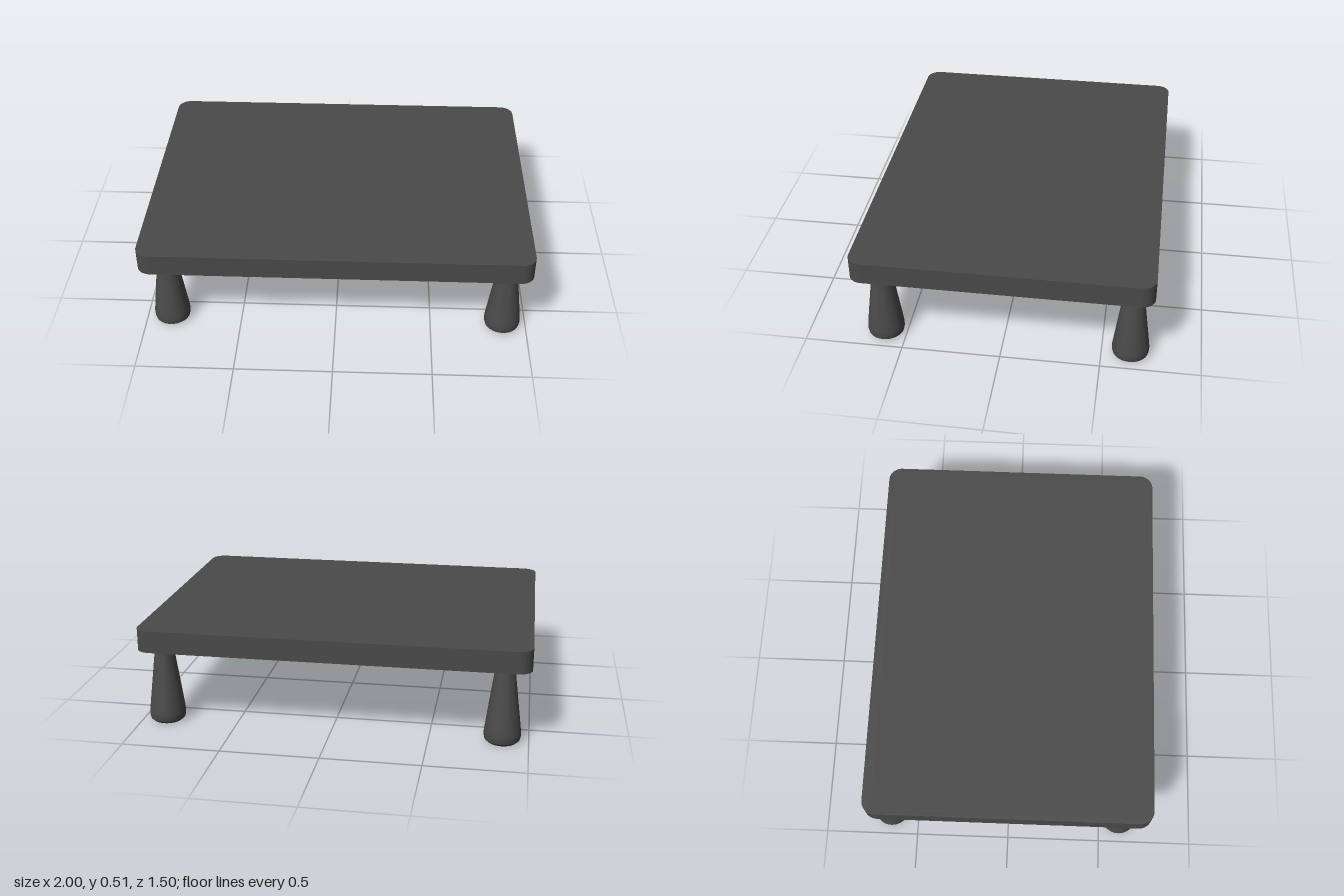
import * as THREE from 'three';
import { toCreasedNormals } from 'three/addons/utils/BufferGeometryUtils.js';

const material = new THREE.MeshStandardMaterial({ color: 0x4a4a4a });

// Rectangle with rounded corners, centred on the origin
function roundedRect(halfW, halfD, r) {
  const s = new THREE.Shape();
  s.absarc(halfW - r, halfD - r, r, 0, Math.PI / 2);
  s.absarc(-halfW + r, halfD - r, r, Math.PI / 2, Math.PI);
  s.absarc(-halfW + r, -halfD + r, r, Math.PI, Math.PI * 1.5);
  s.absarc(halfW - r, -halfD + r, r, Math.PI * 1.5, Math.PI * 2);
  s.closePath();
  return s;
}

export function createModel() {
  const model = new THREE.Group();
  model.name = 'lowTable';
  const bottom = 0.397, top = 0.512;

  // Flat slab with rounded corners
  const slab = new THREE.ExtrudeGeometry(roundedRect(1, 0.75, 0.07), {
    depth: top - bottom, bevelEnabled: false, curveSegments: 10,
  });
  slab.rotateX(-Math.PI / 2);
  slab.translate(0, bottom, 0);
  const tableTop = new THREE.Mesh(toCreasedNormals(slab, 0.5), material);
  tableTop.name = 'tableTop';
  model.add(tableTop);

  // Tapered turned leg with a chamfered foot
  const profile = [
    [0, 0], [0.075, 0], [0.089, 0.013], [0.093, 0.03], [0.093, 0.05],
    [0.09, 0.075], [0.048, bottom], [0, bottom],
  ].map(([r, y]) => new THREE.Vector2(r, y));
  const legGeometry = toCreasedNormals(new THREE.LatheGeometry(profile, 32), 0.5);

  // One leg near each corner
  for (const [zName, z] of [['front', 0.607], ['back', -0.645]]) {
    for (const [xName, x] of [['Left', 0.876], ['Right', -0.867]]) {
      const leg = new THREE.Mesh(legGeometry, material);
      leg.name = `${zName}${xName}Leg`;
      leg.position.set(x, 0, z);
      model.add(leg);
    }
  }
  return model;
}
